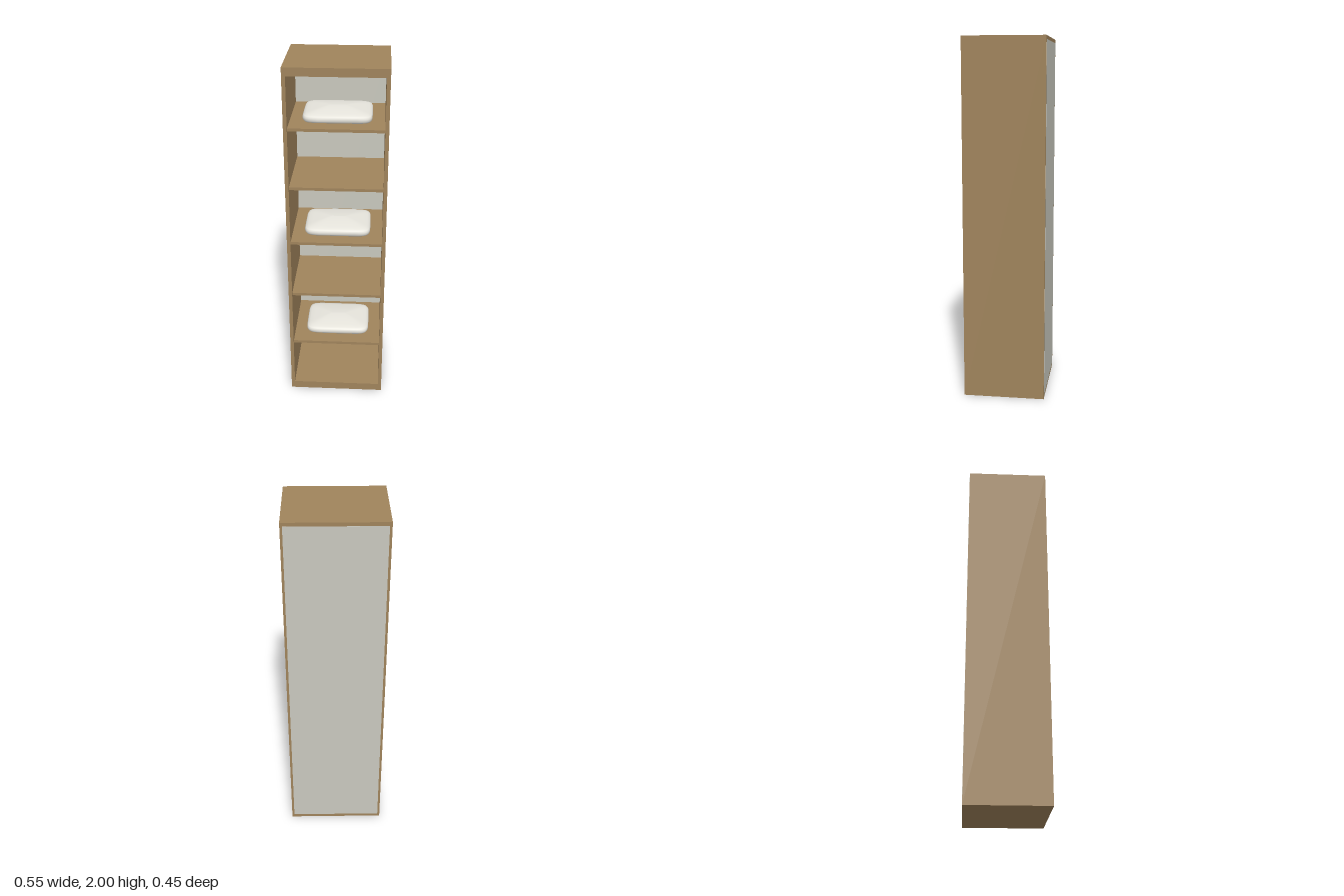
import * as THREE from 'three';

const wood = new THREE.MeshStandardMaterial({ name: 'oak wood', color: 0xa0845c });
const backing = new THREE.MeshStandardMaterial({ name: 'grey backing', color: 0xc9c8be });
const fabric = new THREE.MeshStandardMaterial({ name: 'white fabric', color: 0xe6e4dc });

const W = 0.546, H = 2, D = 0.453; // cabinet size
const SIDE = 0.02, CAP = 0.045;    // wall thickness, top and bottom thickness
const SHELF = 0.016;

function add(parent, name, geometry, material, x = 0, y = 0, z = 0) {
  const mesh = new THREE.Mesh(geometry, material);
  mesh.name = name;
  mesh.position.set(x, y, z);
  parent.add(mesh);
  return mesh;
}

function rectangle(path, x, y0, y1) {
  path.moveTo(-x, y0);
  path.lineTo(x, y0);
  path.lineTo(x, y1);
  path.lineTo(-x, y1);
  path.closePath();
  return path;
}

// Folded cushion: rounded-rectangle rings stacked up to a soft domed top
function cushionGeometry() {
  const hx = 0.185, hz = 0.145, sides = 48, power = 0.3;
  const rings = [ // inset, height
    [0.145, 0], [0.02, 0], [0.006, 0.004], [0, 0.014], [0, 0.027], [0.005, 0.036],
    [0.018, 0.042], [0.04, 0.047], [0.075, 0.053], [0.11, 0.058], [0.145, 0.06],
  ];
  const curve = (v) => Math.sign(v) * Math.abs(v) ** power;
  const positions = [], index = [];
  rings.forEach(([inset, y], i) => {
    for (let j = 0; j < sides; j++) {
      const t = (j / sides) * Math.PI * 2;
      positions.push((hx - inset) * curve(Math.cos(t)), y, (hz - inset) * curve(Math.sin(t)));
      if (i === rings.length - 1) continue;
      const a = i * sides + j, b = i * sides + (j + 1) % sides;
      index.push(a, a + sides, b, b, a + sides, b + sides);
    }
  });
  const geometry = new THREE.BufferGeometry();
  geometry.setAttribute('position', new THREE.Float32BufferAttribute(positions, 3));
  geometry.setIndex(index);
  geometry.computeVertexNormals();
  return geometry;
}

export function createModel() {
  const model = new THREE.Group();
  model.name = 'shelfCabinet';

  // Outer frame, open at the front
  const outline = rectangle(new THREE.Shape(), W / 2, 0, H);
  outline.holes.push(rectangle(new THREE.Path(), W / 2 - SIDE, CAP, H - CAP));
  const frame = new THREE.ExtrudeGeometry(outline, { depth: D, bevelEnabled: false });
  add(model, 'frame', frame, wood, 0, 0, -D / 2 + 0.0005);

  // Back panel, a hair proud of the frame
  add(model, 'backPanel', new THREE.BoxGeometry(0.52, 1.96, 0.01), backing, 0, H / 2, -D / 2 + 0.0045);

  // Five shelves, with a cushion on every other one
  const shelf = new THREE.BoxGeometry(W - 2 * SIDE, SHELF, 0.435);
  const cushion = cushionGeometry();
  for (let i = 1; i <= 5; i++) {
    const y = (i * H) / 6 + 0.003;
    add(model, `shelf${i}`, shelf, wood, 0, y, -0.0005);
    if (i % 2) add(model, `cushion${i}`, cushion, fabric, 0, y + SHELF / 2, 0);
  }
  return model;
}
